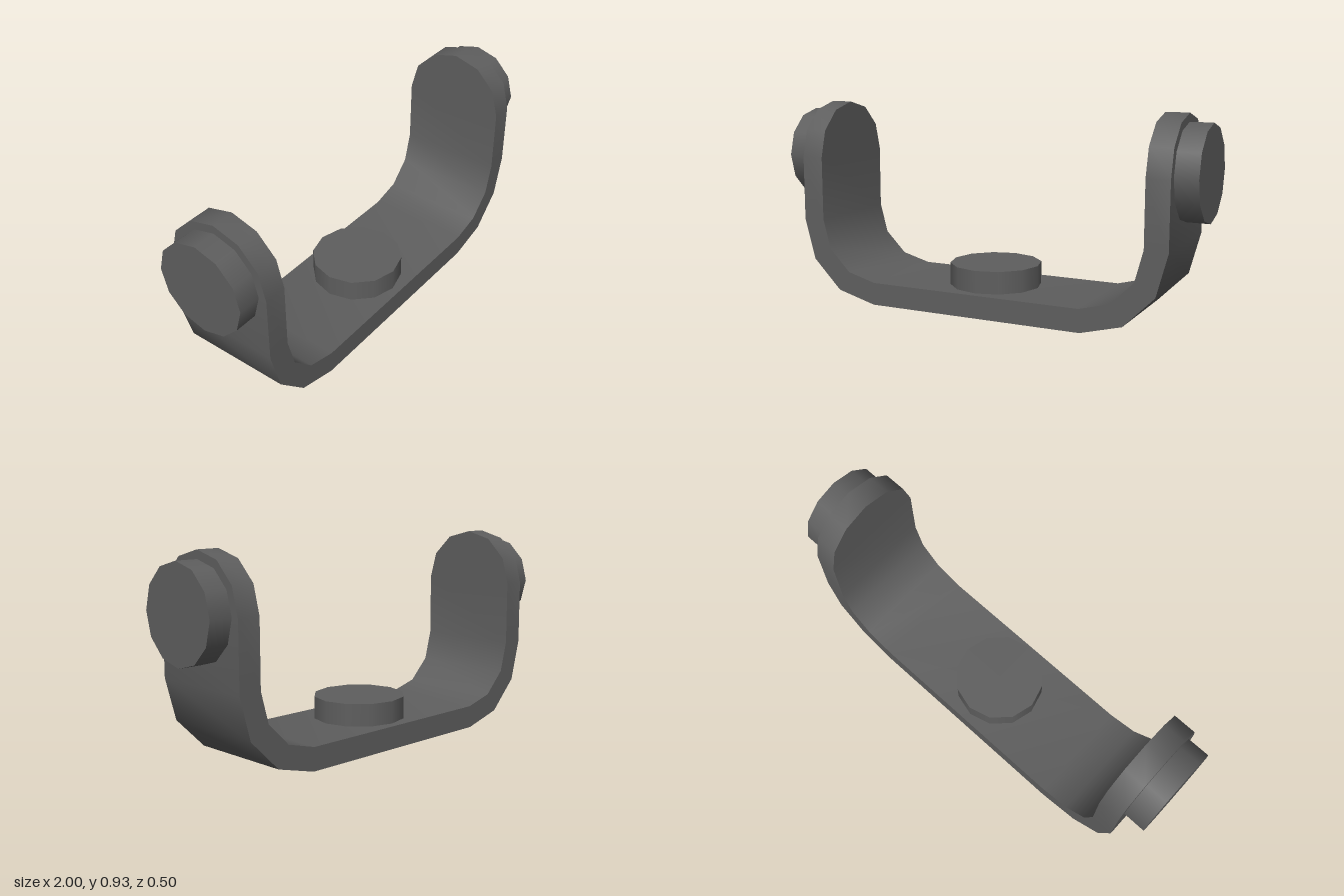
import * as THREE from 'three';
import { toCreasedNormals } from 'three/addons/utils/BufferGeometryUtils.js';

const material = new THREE.MeshStandardMaterial({ color: 0x5e5e5e });

const ARM = { outer: 0.897, inner: 0.792, pivotY: 0.68, halfWidth: 0.25 };
const FLOOR = 0.105;
const BEND = { outer: 0.38, inner: 0.28 };
const BOSS = { radius: 0.212, height: 0.103 };

// Cross-sections of the right-hand half, from the floor bend up to the rounded tip
function halfStations() {
  const list = [];
  for (let i = 0; i <= 3; i++) {
    const a = (i * Math.PI) / 6;
    const s = Math.sin(a), c = Math.cos(a);
    list.push({
      outer: [ARM.outer - BEND.outer * (1 - s), BEND.outer * (1 - c)],
      inner: [ARM.inner - BEND.inner * (1 - s), FLOOR + BEND.inner * (1 - c)],
      w: ARM.halfWidth,
    });
  }
  for (let i = 0; i <= 3; i++) {
    const a = (i * Math.PI) / 6;
    const y = ARM.pivotY + ARM.halfWidth * Math.sin(a);
    list.push({
      outer: [ARM.outer, y],
      inner: [ARM.inner, y],
      w: i === 3 ? 0 : ARM.halfWidth * Math.cos(a),
    });
  }
  return list;
}

// U-shaped strap lofted through rectangular cross-sections, tip to tip
function yokeGeometry() {
  const right = halfStations();
  const left = right
    .map(({ outer, inner, w }) => ({ outer: [-outer[0], outer[1]], inner: [-inner[0], inner[1]], w }))
    .reverse();
  const rings = [...left, ...right].map(({ outer, inner, w }) => [
    new THREE.Vector3(...outer, w),
    new THREE.Vector3(...inner, w),
    new THREE.Vector3(...inner, -w),
    new THREE.Vector3(...outer, -w),
  ]);

  const points = [];
  const triangle = (a, b, c) => {
    if (a.equals(b) || b.equals(c) || c.equals(a)) return; // collapsed at the tips
    points.push(a, b, c);
  };
  for (let i = 0; i < rings.length - 1; i++) {
    const A = rings[i], B = rings[i + 1];
    for (let k = 0; k < 4; k++) {
      const n = (k + 1) % 4;
      triangle(A[k], B[k], B[n]);
      triangle(A[k], B[n], A[n]);
    }
  }
  const geometry = new THREE.BufferGeometry().setFromPoints(points);
  return toCreasedNormals(geometry, 0.6);
}

function addMesh(group, name, geometry) {
  const mesh = new THREE.Mesh(geometry, material);
  mesh.name = name;
  group.add(mesh);
  return mesh;
}

export function createModel() {
  const group = new THREE.Group();
  group.name = 'yokeBracket';

  addMesh(group, 'yoke', yokeGeometry());

  // Twelve-sided bosses: one on the floor, one outside each arm
  const boss = new THREE.CylinderGeometry(BOSS.radius, BOSS.radius, BOSS.height, 12);
  addMesh(group, 'floorBoss', boss).position.y = FLOOR + BOSS.height / 2;
  for (const [name, side] of [['leftPivot', 1], ['rightPivot', -1]]) {
    const pivot = addMesh(group, name, boss);
    pivot.rotation.z = (-side * Math.PI) / 2;
    pivot.position.set(side * (ARM.outer + BOSS.height / 2), ARM.pivotY, 0);
  }
  return group;
}
